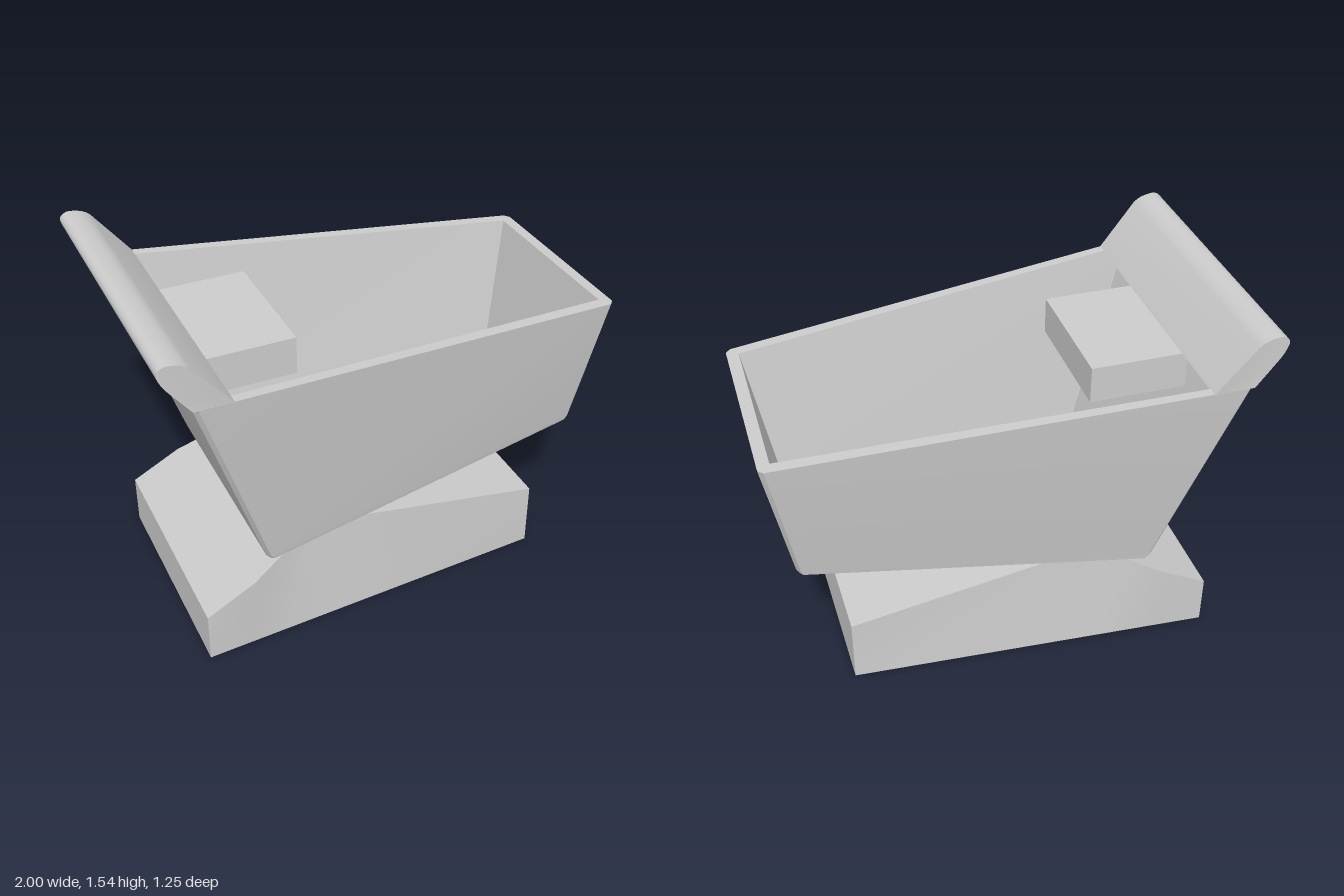
import * as THREE from 'three';
import { toCreasedNormals } from 'three/addons/utils/BufferGeometryUtils.js';

const material = new THREE.MeshStandardMaterial({ color: 0xcccccc });

function addMesh(group, name, geometry) {
  const mesh = new THREE.Mesh(geometry, material);
  mesh.name = name;
  group.add(mesh);
  return mesh;
}

// Each section lists the points of its +z side from back to nose; the -z side is mirrored.
function loft(sections, crease) {
  const n = sections[0].length;
  const rings = sections.map((s) => [...s, ...s.map(([x, y, z]) => [x, y, -z]).reverse()]);
  const count = 2 * n;
  const pos = [];
  const quad = (a, b, c, d) => pos.push(...a, ...b, ...c, ...a, ...c, ...d);
  for (let r = 0; r < rings.length - 1; r++) {
    for (let i = 0; i < count; i++) {
      const j = (i + 1) % count;
      quad(rings[r][i], rings[r][j], rings[r + 1][j], rings[r + 1][i]);
    }
  }
  // Caps span between mirrored pairs
  const first = rings[0], last = rings[rings.length - 1];
  for (let i = 0; i < n - 1; i++) {
    const p = count - 1 - i;
    quad(first[i], first[p], first[p - 1], first[i + 1]);
    quad(last[i], last[i + 1], last[p - 1], last[p]);
  }
  const geometry = new THREE.BufferGeometry();
  geometry.setAttribute('position', new THREE.Float32BufferAttribute(pos, 3));
  return toCreasedNormals(geometry, crease);
}

// Side of a tapered four-cornered section with slightly cut corners
function taperedSide([xb, yb, zb], [xf, yf, zf], cut) {
  const at = (x, inset) => {
    const t = (x - xb) / (xf - xb);
    return [x, yb + (yf - yb) * t, zb + (zf - zb) * t - inset];
  };
  return [at(xb, cut), at(xb + cut, 0), at(xf - cut, 0), at(xf, cut)];
}

export function createModel() {
  const model = new THREE.Group();
  model.name = 'cart';

  // Hollow basket: outside wall, rim, inside wall and floor
  addMesh(model, 'basket', loft([
    taperedSide([-0.565, 0.428, 0.49], [0.88, 0.597, 0.355], 0.012),
    taperedSide([-0.585, 0.45, 0.495], [0.893, 0.62, 0.36], 0.015),
    taperedSide([-0.88, 1.332, 0.627], [1.0, 1.195, 0.433], 0.02),
    taperedSide([-0.82, 1.327, 0.58], [0.95, 1.199, 0.387], 0.001),
    taperedSide([-0.54, 0.49, 0.43], [0.85, 0.66, 0.305], 0.001),
  ], 0.5));

  // Handle: rounded profile running across the back of the basket
  const profile = new THREE.Shape();
  profile.moveTo(-0.72, 1.318);
  profile.lineTo(-0.875, 1.51);
  profile.bezierCurveTo(-0.9, 1.535, -0.93, 1.54, -0.96, 1.543);
  profile.bezierCurveTo(-0.98, 1.543, -1.0, 1.53, -1.0, 1.51);
  profile.bezierCurveTo(-0.99, 1.47, -0.97, 1.445, -0.95, 1.42);
  profile.lineTo(-0.88, 1.33);
  const handle = new THREE.ExtrudeGeometry(profile, { depth: 1.25, bevelEnabled: false, curveSegments: 5 });
  handle.translate(0, 0, -0.625);
  // Narrow the lower front edge to meet the basket sides
  const p = handle.attributes.position;
  for (let i = 0; i < p.count; i++) {
    if (p.getX(i) > -0.8) p.setZ(i, Math.sign(p.getZ(i)) * 0.612);
  }
  addMesh(model, 'handle', toCreasedNormals(handle, 0.7));

  // Child seat block fixed to the inside of the back wall
  const seat = addMesh(model, 'seat', new THREE.BoxGeometry(0.41, 0.16, 0.56));
  seat.position.set(-0.555, 1.218, 0);

  // Base: tapered block with a ridged top that carries the basket
  const top = [
    [-0.85, 0.22, 0.49], [-0.64, 0.33, 0.488], [-0.5, 0.403, 0.45],
    [-0.34, 0.485, 0.415], [0.7, 0.29, 0.39],
  ];
  const bottom = top.map(([x]) => [x, 0, 0.49 - 0.1 * (x + 0.85) / 1.55]);
  addMesh(model, 'base', loft([bottom, top], 0.4));

  return model;
}
